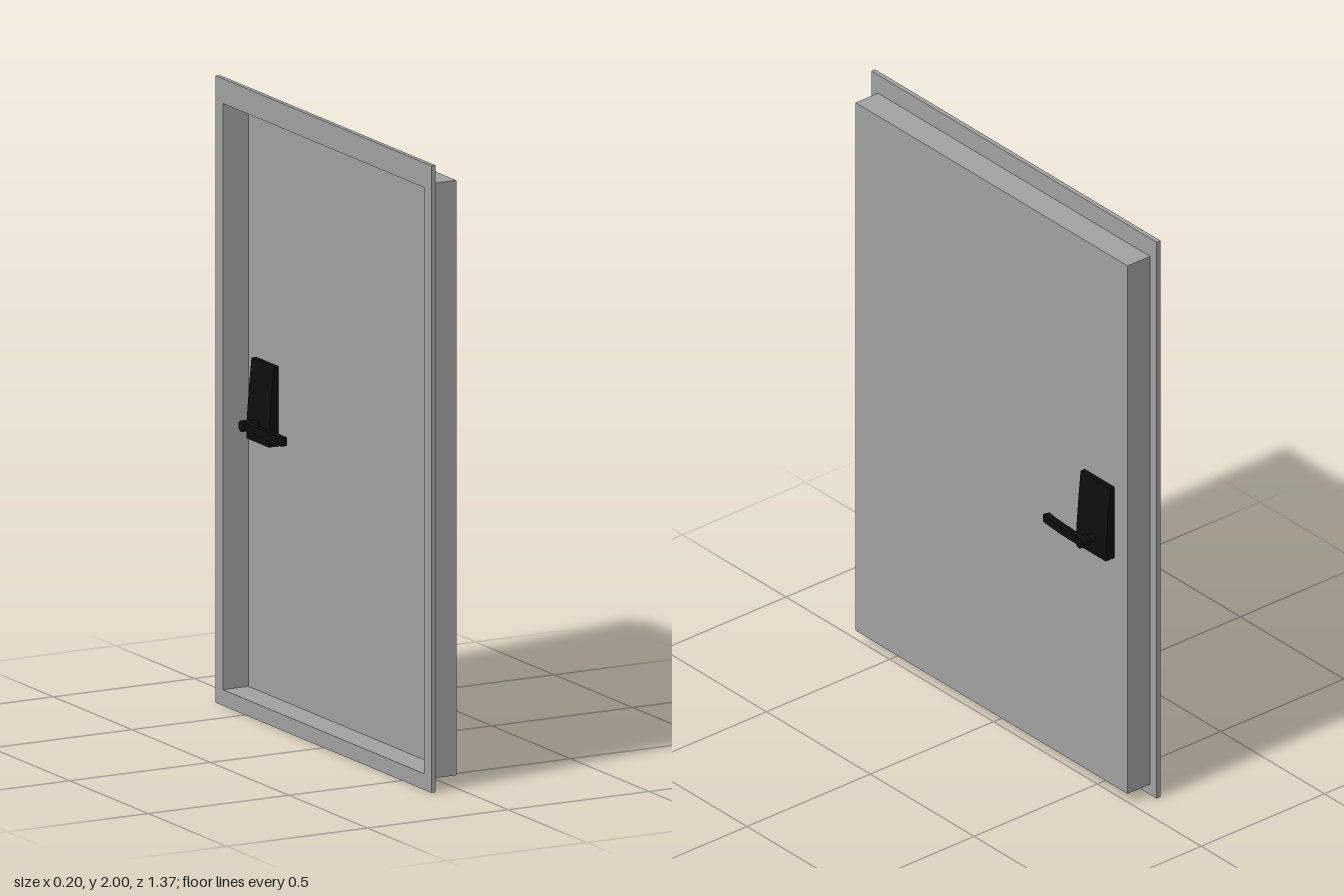
import * as THREE from 'three';
import { toCreasedNormals } from 'three/addons/utils/BufferGeometryUtils.js';

export function createModel() {
  const root = new THREE.Group();
  root.name = 'door';
  const grey = new THREE.MeshStandardMaterial({ color: 0xa0a0a0 });
  grey.name = 'door grey';
  const black = new THREE.MeshStandardMaterial({ color: 0x0d0d0d });
  black.name = 'handle black';

  const add = (parent, name, geometry, material) => {
    const mesh = new THREE.Mesh(geometry, material);
    mesh.name = name;
    parent.add(mesh);
    return mesh;
  };
  const rect = (Type, halfWidth, y0, y1) => new Type([
    [-halfWidth, y0], [halfWidth, y0], [halfWidth, y1], [-halfWidth, y1],
  ].map(([u, v]) => new THREE.Vector2(u, v)));

  // Rectangular ring lying in the z-y plane, from x0 to x1
  const ring = (name, outer, inner, x0, x1) => {
    const shape = rect(THREE.Shape, ...outer);
    shape.holes.push(rect(THREE.Path, ...inner));
    const g = new THREE.ExtrudeGeometry(shape, { depth: x1 - x0, bevelEnabled: false });
    g.rotateY(Math.PI / 2).translate(x0, 0, 0);
    add(root, name, g, grey);
  };

  // Flange, surround and the leaf closing the recess
  const opening = [0.641, 0.051, 1.921];
  ring('flange', [0.687, 0, 2], opening, -0.098, -0.083);
  ring('surround', [0.655, 0.037, 1.935], opening, -0.083, 0.008);
  const leaf = new THREE.BoxGeometry(0.015, 1.87, 1.282);
  leaf.translate(0.0005, 0.986, 0);
  add(root, 'leaf', leaf, grey);

  // One handle, projecting along x in the direction given by side
  const makeHandle = (name, side, x) => {
    const handle = new THREE.Group();
    handle.name = name;
    handle.position.x = x;
    root.add(handle);

    // Wedge-shaped back plate
    const plate = new THREE.Shape([
      [0, 0.857], [0.035, 0.857], [0.033, 0.93], [0.025, 1.03], [0.017, 1.112], [0, 1.112],
    ].map(([u, v]) => new THREE.Vector2(side * u, v)));
    const plateGeometry = new THREE.ExtrudeGeometry(plate, { depth: 0.143, bevelEnabled: false });
    plateGeometry.translate(0, 0, -0.592);
    add(handle, 'backPlate', plateGeometry, black);

    // Spindle and its wider head
    const rod = (part, radius, from, to) => {
      const g = new THREE.CylinderGeometry(radius, radius, to - from, 20);
      g.rotateZ(Math.PI / 2).translate(side * (from + to) / 2, 0.915, -0.527);
      add(handle, part, g, black);
    };
    rod('spindle', 0.013, 0.03, 0.062);
    rod('head', 0.018, 0.058, 0.09);

    // Lever bending back towards the door and drooping at the tip
    const curve = new THREE.QuadraticBezierCurve(
      new THREE.Vector2(0.073, -0.527), new THREE.Vector2(0.08, -0.42), new THREE.Vector2(0.05, -0.322));
    const outer = [], inner = [];
    for (let i = 0; i <= 14; i++) {
      const p = curve.getPoint(i / 14);
      const t = curve.getTangent(i / 14);
      outer.push(new THREE.Vector2(side * (p.x + t.y * 0.011), p.y - t.x * 0.011));
      inner.unshift(new THREE.Vector2(side * (p.x - t.y * 0.011), p.y + t.x * 0.011));
    }
    const lever = new THREE.ExtrudeGeometry(new THREE.Shape([...outer, ...inner]),
      { depth: 0.026, bevelEnabled: false });
    lever.rotateX(Math.PI / 2).translate(0, 0.928, 0);
    const pos = lever.attributes.position;
    for (let i = 0; i < pos.count; i++) {
      const t = Math.max(0, (pos.getZ(i) + 0.47) / 0.15);
      pos.setY(i, pos.getY(i) - 0.013 * t * t);
    }
    add(handle, 'lever', toCreasedNormals(lever, 0.6), black);
  };
  makeHandle('outerHandle', 1, 0.008);
  makeHandle('innerHandle', -1, -0.007);

  return root;
}
